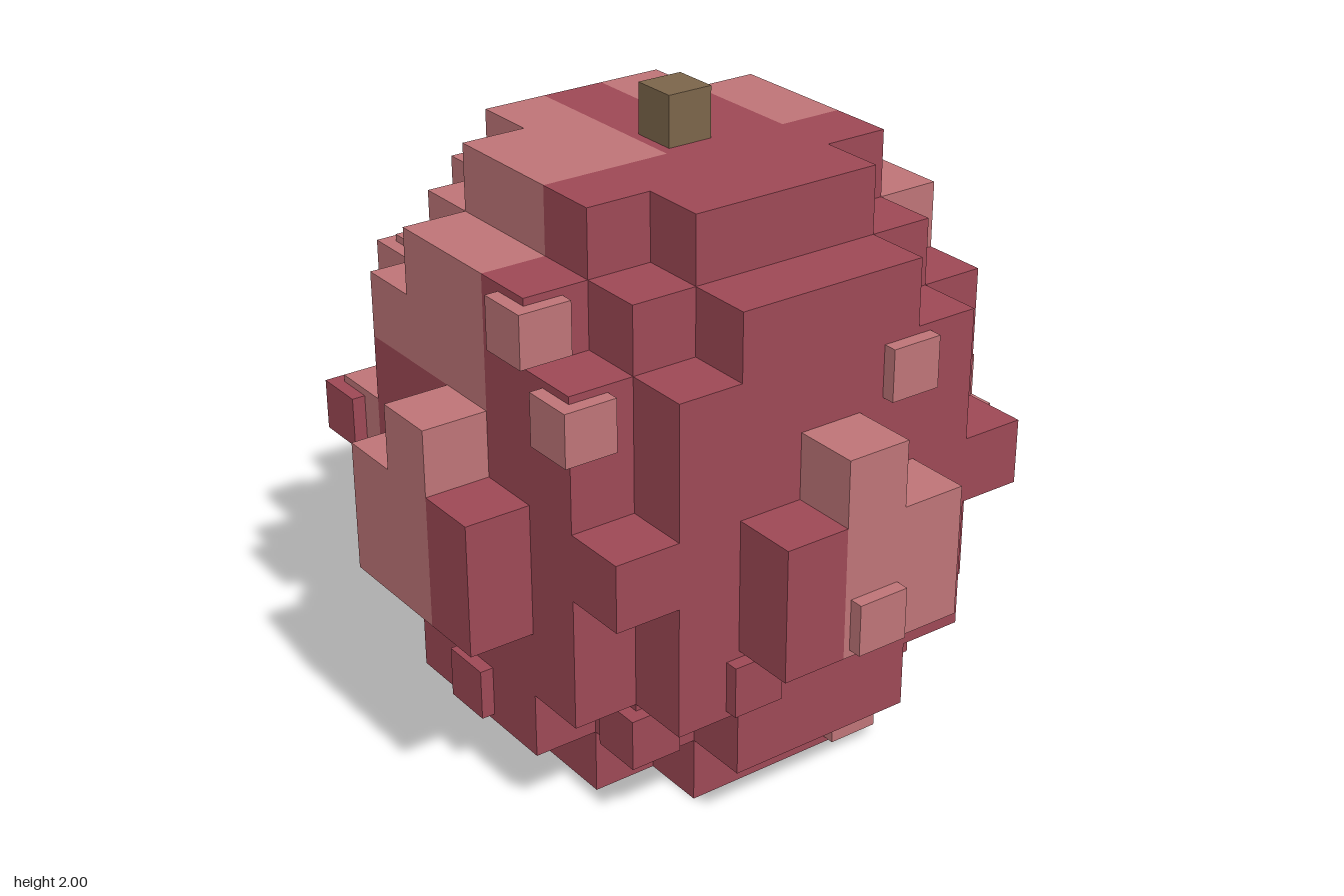
import * as THREE from 'three';
import { mergeGeometries } from 'three/addons/utils/BufferGeometryUtils.js';

const U = 0.205; // block size
const CENTRE_Y = 4.5 * U;

// Largest i*i + k*k allowed in each layer, from the bottom to the top
const REACH = [5, 10, 13, 17, 18, 16, 13, 10, 5];
const filled = (i, j, k) => Math.abs(j) <= 4 && i * i + k * k <= REACH[j + 4];

// Patchwork of deep and pale skin
function isDeep(i, j, k) {
  if (k === 4) return i === -1;
  if (k === -4) return i === 0;
  if (i === 4) return false;
  if (i === -4) return k === 1;
  if (k >= 2) return true;
  if (k === 1) return i < 3 || j === 1 || j === 2;
  if (j === 4) return i === 0 || (i === 1 && k >= -1);
  if (j <= -2) return i <= -1;
  if (i === 0) return true;
  return j <= 1 && i === -3 && k !== -3;
}

// Outer faces of one block: [direction, rotation about x, rotation about y]
const SIDES = [
  [[0, 0, 1], 0, 0],
  [[0, 0, -1], 0, Math.PI],
  [[1, 0, 0], 0, Math.PI / 2],
  [[-1, 0, 0], 0, -Math.PI / 2],
  [[0, 1, 0], -Math.PI / 2, 0],
  [[0, -1, 0], Math.PI / 2, 0],
];

function skinGeometry(deep) {
  const faces = [];
  for (let i = -4; i <= 4; i++)
    for (let j = -4; j <= 4; j++)
      for (let k = -4; k <= 4; k++) {
        if (!filled(i, j, k) || isDeep(i, j, k) !== deep) continue;
        for (const [[dx, dy, dz], rx, ry] of SIDES) {
          if (filled(i + dx, j + dy, k + dz)) continue;
          faces.push(new THREE.PlaneGeometry(U, U).rotateX(rx).rotateY(ry).translate(
            (i + dx / 2) * U, (j + dy / 2) * U + CENTRE_Y, (k + dz / 2) * U));
        }
      }
  return mergeGeometries(faces);
}

// Seeds, by the block they sit on
const PALE_SEEDS = [
  [1, 2, 3], [0, -1, 4], [1, -4, 2], [-3, 3, 1], [-3, 2, 2], [3, 1, 1], [3, 0, 2],
  [-2, 2, -3], [1, 1, -3], [0, 0, -4], [-1, -3, -3],
];
const DEEP_SEEDS = [
  [-1, -2, 3], [-2, -3, 2], [3, 3, -1], [-3, 0, -3], [-3, -1, -2], [-3, -2, -1],
  [-3, -3, 0], [-1, -4, -2],
];

export function createModel() {
  const group = new THREE.Group();
  const material = (name, color) => {
    const m = new THREE.MeshStandardMaterial({ color });
    m.name = name;
    return m;
  };
  const pale = material('paleSkin', 0xbe7477);
  const deep = material('deepSkin', 0x9d4855);
  const bark = material('stalkBrown', 0x7b654a);

  const add = (name, geometry, mat) => {
    const mesh = new THREE.Mesh(geometry, mat);
    mesh.name = name;
    group.add(mesh);
    return mesh;
  };

  // Round body of blocks
  add('paleBody', skinGeometry(false), pale);
  add('deepBody', skinGeometry(true), deep);

  // Seeds, pushed slightly outwards from the body
  const seedGeometry = new THREE.BoxGeometry(0.165, 0.16, 0.165);
  const out = (n) => n * U + Math.sign(n) * 0.062;
  for (const [list, mat] of [[PALE_SEEDS, pale], [DEEP_SEEDS, deep]])
    for (const [i, j, k] of list)
      add('seed', seedGeometry, mat).position.set(out(i), j * U + CENTRE_Y, out(k));

  // Stalk
  add('stalk', new THREE.BoxGeometry(0.146, 0.155, 0.146), bark).position.y = 9 * U + 0.0775;

  return group;
}
